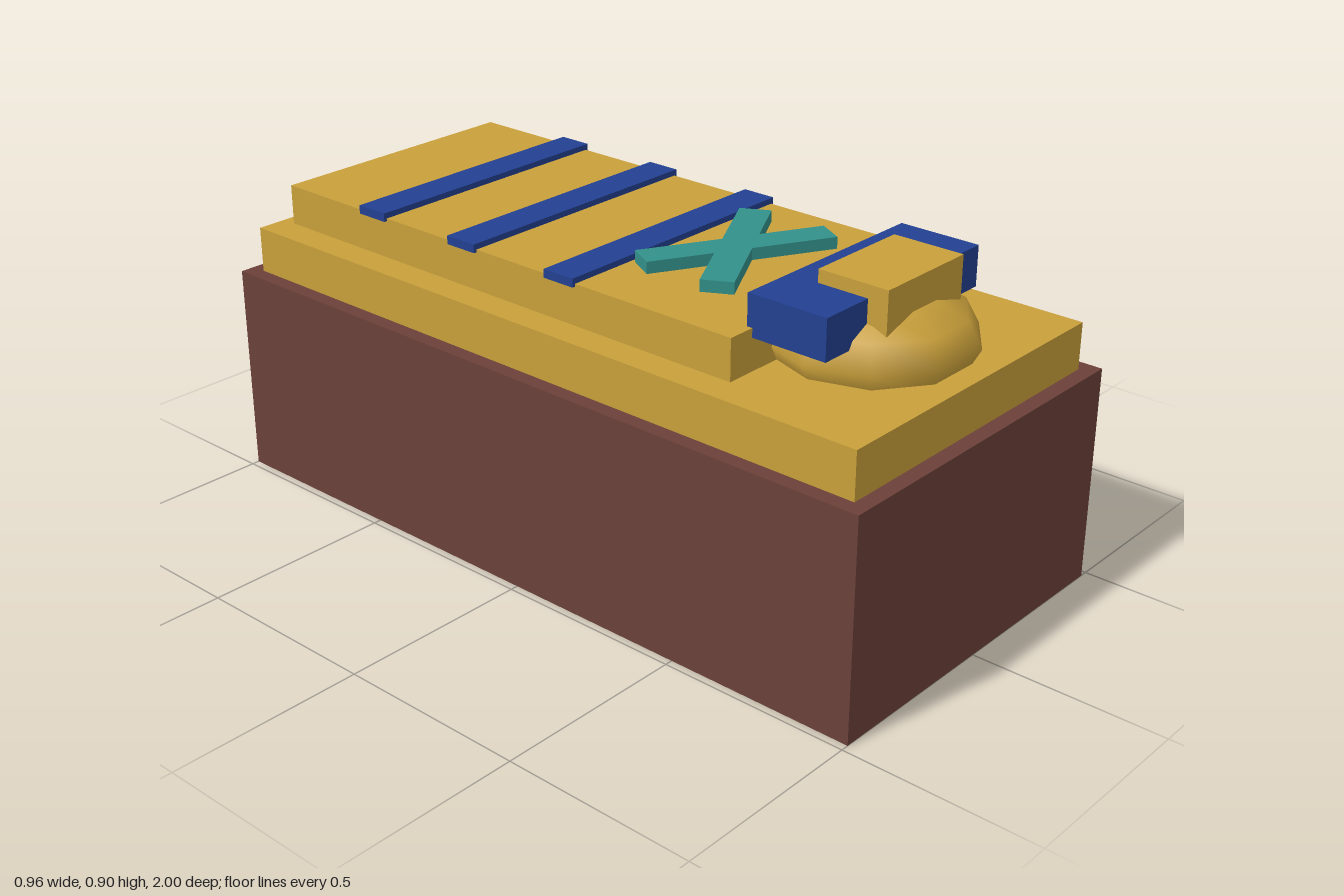
import * as THREE from 'three';

const material = (color) => new THREE.MeshStandardMaterial({ color });

export function createModel() {
  const model = new THREE.Group();
  const brown = material(0x6b4139);
  const gold = material(0xc89f3a);
  const blue = material(0x234091);
  const teal = material(0x32908a);

  // Box given by width, and its y and z ranges, centred on x = 0
  function addBox(name, mat, width, [y0, y1], [z0, z1]) {
    const mesh = new THREE.Mesh(new THREE.BoxGeometry(width, y1 - y0, z1 - z0), mat);
    mesh.position.set(0, (y0 + y1) / 2, (z0 + z1) / 2);
    mesh.name = name;
    model.add(mesh);
    return mesh;
  }

  // Stone chest, lid and raised body
  addBox('base', brown, 0.96, [0, 0.56], [-1, 1]);
  addBox('lid', gold, 0.88, [0.56, 0.68], [-0.96, 0.96]);
  addBox('body', gold, 0.72, [0.68, 0.785], [-0.92, 0.56]);

  // Bands across the body
  [0.05, -0.275, -0.595].forEach((z, i) =>
    addBox(`band${i + 1}`, blue, 0.736, [0.778, 0.8], [z - 0.046, z + 0.046]));

  // Crossed arms
  const arms = new THREE.Group();
  arms.name = 'crossedArms';
  arms.position.set(0, 0.813, 0.28);
  for (const side of [-1, 1]) {
    const arm = new THREE.Mesh(new THREE.BoxGeometry(0.48, 0.03, 0.08), teal);
    arm.rotation.y = side * 0.5;
    arm.name = side < 0 ? 'rightArm' : 'leftArm';
    arms.add(arm);
  }
  model.add(arms);

  // Flattened head with headdress and crown block
  const head = new THREE.Mesh(new THREE.SphereGeometry(0.255, 10, 6), gold);
  head.scale.y = 0.5;
  head.position.set(0, 0.717, 0.675);
  head.name = 'head';
  model.add(head);
  addBox('headdress', blue, 0.574, [0.762, 0.865], [0.545, 0.76]);
  addBox('crown', gold, 0.284, [0.786, 0.898], [0.625, 0.813]);

  return model;
}
